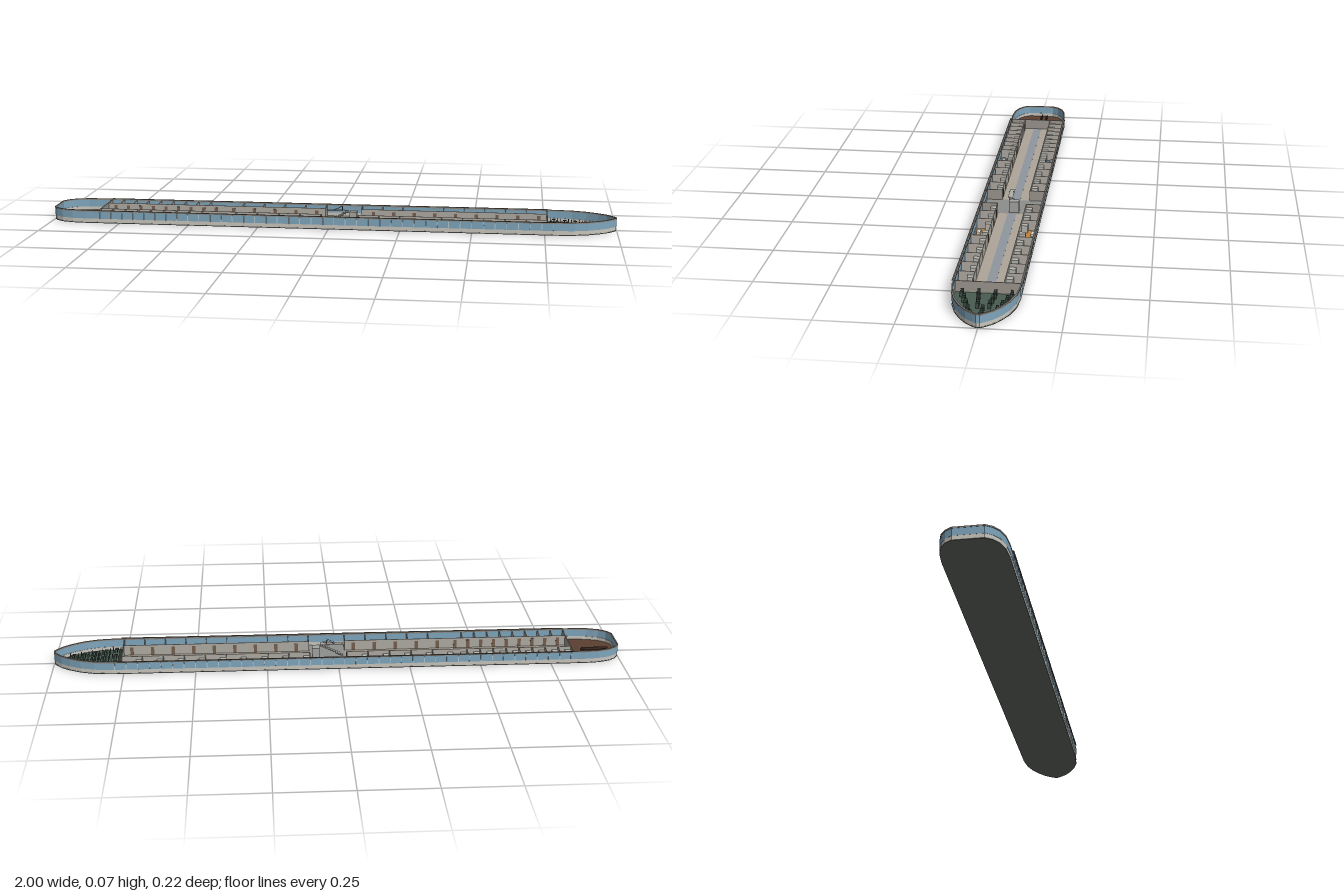
import * as THREE from 'three';

const FLOOR = 0.004, WALL_TOP = 0.042;

// Half outline of the ship, stern to bow: [x, half width]
const OUTLINE = [
  [-0.999, 0.05], [-0.985, 0.072], [-0.96, 0.09], [-0.92, 0.102], [-0.87, 0.106],
  [0.79, 0.106], [0.85, 0.1], [0.9, 0.085], [0.94, 0.064], [0.97, 0.042], [0.99, 0.018], [0.998, 0.006],
];

const materials = {};
function mat(color) {
  return (materials[color] ??= new THREE.MeshStandardMaterial({ color, flatShading: true }));
}

// Counter-clockwise outline grown or shrunk by d, limited to x0..x1
function loop(d = 0, x0 = -2, x1 = 2) {
  const half = OUTLINE.filter(([x]) => x > x0 && x < x1)
    .map(([x, z]) => new THREE.Vector2(x + (x < -0.86 ? -d : x > 0.8 ? d : 0), Math.max(z + d, 0.002)));
  if (x0 > -1) half.unshift(new THREE.Vector2(x0, 0.106 + d));
  if (x1 < 1) half.push(new THREE.Vector2(x1, 0.106 + d));
  const other = half.map((p) => new THREE.Vector2(p.x, -p.y));
  return [...other, ...half.reverse()];
}

function slab(parent, name, shape, y, height, color) {
  const geo = new THREE.ExtrudeGeometry(shape, { depth: height, bevelEnabled: false });
  geo.rotateX(-Math.PI / 2);
  const mesh = new THREE.Mesh(geo, mat(color));
  mesh.position.y = y;
  mesh.name = name;
  parent.add(mesh);
}

function ring(parent, name, outer, inner, y, height, color) {
  const shape = new THREE.Shape(loop(outer));
  shape.holes.push(new THREE.Path(loop(inner)));
  slab(parent, name, shape, y, height, color);
}

// Box standing on y, centred on x and z
function box(parent, name, x, y, z, w, h, d, color) {
  const mesh = new THREE.Mesh(new THREE.BoxGeometry(w, h, d), mat(color));
  mesh.position.set(x, y + h / 2, z);
  mesh.name = name;
  parent.add(mesh);
  return mesh;
}

function buildHull(root) {
  const hull = new THREE.Group();
  hull.name = 'hull';
  root.add(hull);
  slab(hull, 'basePlate', new THREE.Shape(loop(0)), 0, 0.003, 0x666964);
  ring(hull, 'lowerSidePanel', -0.0005, -0.003, 0.003, 0.013, 0xc9c6be);
  ring(hull, 'windowBand', 0, -0.002, 0.016, 0.025, 0x7fa6bd);
  ring(hull, 'topRail', 0.001, -0.003, 0.041, 0.005, 0x8d8780);
  // Narrow rails and window posts along both long sides
  for (const side of [-1, 1]) {
    box(hull, 'sideRail', -0.03, 0.0455, side * 0.1085, 1.6, 0.001, 0.006, 0x55524e);
    for (let i = 0; i <= 40; i++)
      box(hull, 'windowPost', -0.82 + i * 0.04, 0.016, side * 0.1075, 0.0025, 0.024, 0.005, 0xb4c6d0);
  }
}

function buildFloors(root) {
  slab(root, 'sternDeck', new THREE.Shape(loop(-0.003, -2, -0.83)), 0.003, 0.001, 0x5b4032);
  slab(root, 'bowLounge', new THREE.Shape(loop(-0.003, 0.76, 2)), 0.003, 0.001, 0x4a5c52);
  box(root, 'lobbyFloor', 0.035, 0.003, 0, 0.13, 0.001, 0.206, 0x8d8f8c);
  for (const [a, b] of [[-0.83, -0.03], [0.1, 0.76]]) {
    box(root, 'corridorFloor', (a + b) / 2, 0.003, 0, b - a, 0.001, 0.1, 0xaea599);
    box(root, 'corridorCarpet', (a + b) / 2, FLOOR, 0, b - a, 0.0004, 0.03, 0x90969e);
  }
}

// A row of cabins on both sides of the corridor
function buildCabins(root, name, x0, x1, count, floorColor) {
  const group = new THREE.Group();
  group.name = name;
  root.add(group);
  const pitch = (x1 - x0) / count, wallH = WALL_TOP - FLOOR, mid = (x0 + x1) / 2;
  for (const s of [-1, 1]) {
    box(group, 'cabinFloor', mid, 0.003, s * 0.077, x1 - x0, 0.001, 0.052, floorColor);
    box(group, 'corridorWall', mid, FLOOR, s * 0.05, x1 - x0, wallH, 0.0015, 0xb0aba3);
    for (let i = 0; i < count; i++) {
      const x = x0 + i * pitch;
      if (i > 0) box(group, 'partition', x, FLOOR, s * 0.077, 0.002, wallH, 0.052, 0xb0aba3);
      box(group, 'bathroom', x + 0.012, FLOOR, s * 0.062, 0.02, 0.026, 0.022, 0xb5b5b0);
      box(group, 'bed', x + pitch * 0.5, FLOOR, s * 0.092, pitch * 0.45, 0.008, 0.013, 0xd9d8d2);
      box(group, 'pillow', x + pitch * 0.34, FLOOR + 0.008, s * 0.092, 0.006, 0.002, 0.01, 0xeeeeea);
      box(group, 'wardrobe', x + pitch * 0.86, FLOOR, s * 0.062, 0.008, 0.014, 0.014, 0xc9c7c0);
      box(group, 'door', x + pitch * 0.6, FLOOR, s * 0.049, 0.012, 0.03, 0.001, 0x75604f);
    }
  }
}

function buildStairs(root) {
  const stairs = new THREE.Group();
  stairs.name = 'stairs';
  root.add(stairs);
  for (let i = 0; i < 9; i++)
    box(stairs, 'step', -0.016 + i * 0.009, FLOOR + i * 0.0046, 0.008, 0.009, 0.0046, 0.014, 0xb5b3ad);
  box(stairs, 'landing', 0.02, 0.048, 0.01, 0.08, 0.0015, 0.018, 0xb0b0ac);
  box(stairs, 'liftShaft', 0.077, FLOOR, -0.006, 0.026, 0.04, 0.034, 0xa5a5a2);
  for (const z of [0.003, 0.017]) {
    const rail = box(stairs, 'handrail', 0.025, 0.057, z, 0.035, 0.001, 0.001, 0x4a4a4a);
    rail.rotation.z = 0.45;
    for (const [x, h] of [[0.011, 0.002], [0.039, 0.015]])
      box(stairs, 'railPost', x, 0.0495, z, 0.001, h, 0.001, 0x4a4a4a);
  }
}

function buildBulkheads(root) {
  for (const x of [-0.83, 0.76])
    box(root, 'endBulkhead', x, FLOOR, 0, 0.003, WALL_TOP - FLOOR, 0.206, 0x9c978f);
  for (const x of [-0.03, 0.1])
    for (const s of [-1, 1])
      box(root, 'lobbyBulkhead', x, FLOOR, s * 0.0765, 0.003, WALL_TOP - FLOOR, 0.053, 0x9c978f);
}

function buildDeckFurniture(root) {
  // Long benches on the stern deck
  for (const z of [-0.024, -0.004]) {
    box(root, 'bench', -0.925, FLOOR, z, 0.095, 0.008, 0.008, 0x3c2a22);
    box(root, 'benchBack', -0.925, FLOOR + 0.008, z - 0.0035, 0.095, 0.007, 0.001, 0x3c2a22);
  }
  // Rows of tables with facing seats in the bow lounge
  for (let i = 0; i < 5; i++) {
    const x = 0.785 + i * 0.037, reach = 0.078 - i * 0.011, n = i < 3 ? 4 : 3;
    for (let j = 0; j < n; j++) {
      const table = new THREE.Group();
      table.name = 'loungeTable';
      table.position.set(x, FLOOR, -reach + (2 * reach * j) / (n - 1));
      root.add(table);
      box(table, 'tableTop', 0, 0.012, 0, 0.012, 0.002, 0.012, 0x36423c);
      box(table, 'tableLeg', 0, 0, 0, 0.003, 0.012, 0.003, 0x36423c);
      for (const s of [-1, 1]) {
        box(table, 'seat', s * 0.011, 0, 0, 0.007, 0.008, 0.01, 0x3d4d45);
        box(table, 'seatBack', s * 0.0135, 0.008, 0, 0.002, 0.01, 0.01, 0x3d4d45);
      }
    }
  }
}

export function createModel() {
  const root = new THREE.Group();
  root.name = 'shipDeck';
  buildHull(root);
  buildFloors(root);
  buildCabins(root, 'blueCabins', -0.83, -0.41, 9, 0x5a7a94);
  buildCabins(root, 'aftGreenCabins', -0.41, -0.03, 5, 0x3b8270);
  buildCabins(root, 'orangeCabins', 0.1, 0.32, 3, 0xc4823a);
  buildCabins(root, 'forwardGreenCabins', 0.32, 0.76, 6, 0x3b8270);
  buildBulkheads(root);
  buildStairs(root);
  buildDeckFurniture(root);
  return root;
}
